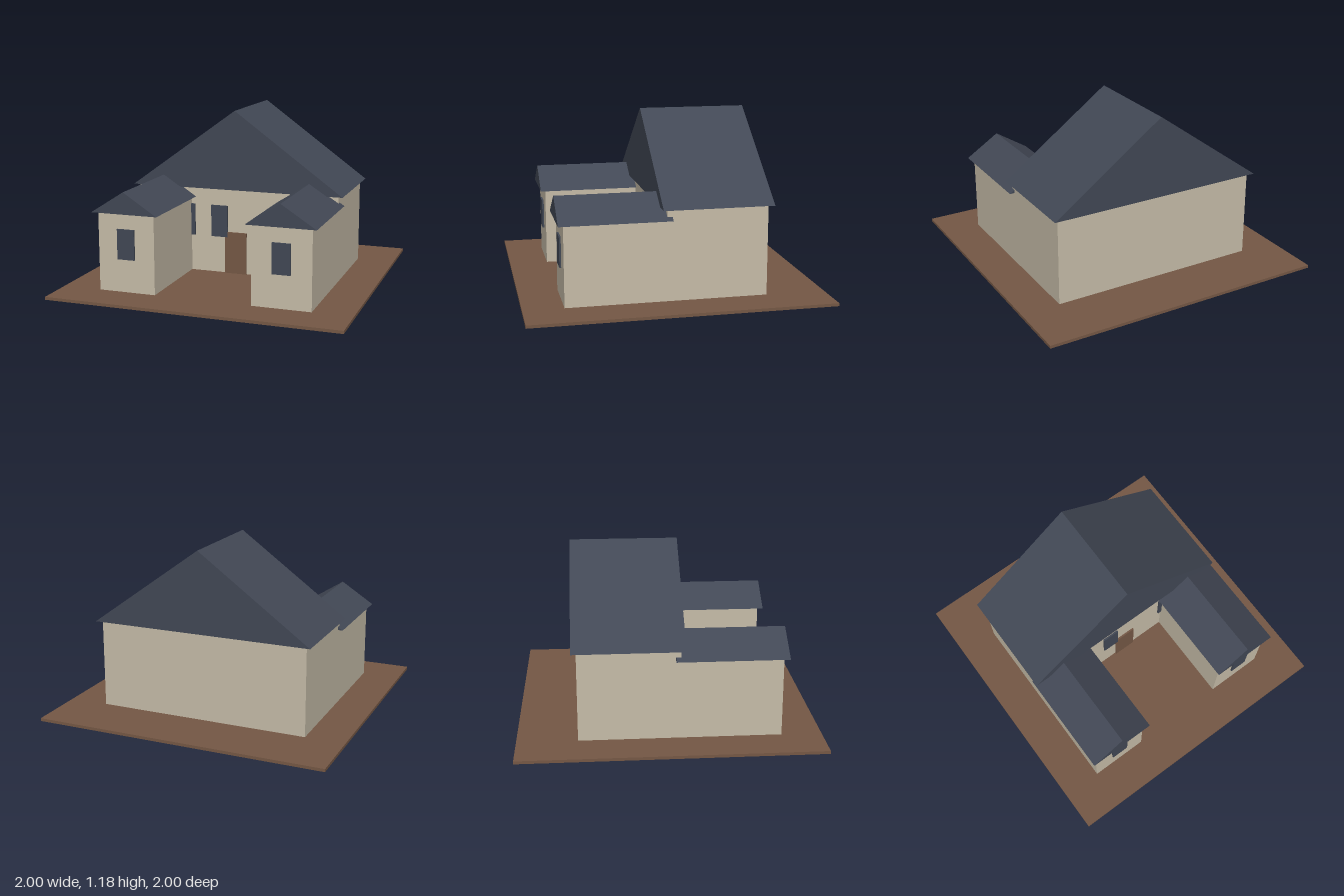
import * as THREE from 'three';

export function createModel() {
  const house = new THREE.Group();
  house.name = 'house';

  const material = (name, color) => {
    const m = new THREE.MeshStandardMaterial({ color });
    m.name = name;
    return m;
  };
  const cream = material('cream wall', 0xc6bca8);
  const slate = material('dark slate', 0x424855);
  const brown = material('brown earth', 0x755845);

  const add = (name, geometry, mat) => {
    const mesh = new THREE.Mesh(geometry, mat);
    mesh.name = name;
    house.add(mesh);
    return mesh;
  };

  // Box given by its limits on each axis
  const block = (name, mat, [x0, x1], [y0, y1], [z0, z1]) => {
    const g = new THREE.BoxGeometry(x1 - x0, y1 - y0, z1 - z0);
    g.translate((x0 + x1) / 2, (y0 + y1) / 2, (z0 + z1) / 2);
    return add(name, g, mat);
  };

  // Closed gable prism with its ridge along z
  const gable = (name, centreX, halfWidth, [y0, y1], [z0, z1]) => {
    const shape = new THREE.Shape();
    shape.moveTo(centreX - halfWidth, y0);
    shape.lineTo(centreX + halfWidth, y0);
    shape.lineTo(centreX, y1);
    shape.closePath();
    const g = new THREE.ExtrudeGeometry(shape, { depth: z1 - z0, bevelEnabled: false });
    g.translate(0, 0, z0);
    return add(name, g, slate);
  };

  const floor = 0.02;
  const wallFront = 0.07;
  const wingFront = 0.733;
  const plate = 0.012;

  // Ground slab
  block('ground', brown, [-1, 1], [0, floor], [-1, 1]);

  // Main house
  block('mainWalls', cream, [-0.732, 0.732], [floor, 0.625], [-0.6, wallFront]);
  gable('mainRoof', 0, 0.766, [0.625, 1.18], [-0.634, 0.1]);
  block('door', brown, [-0.079, 0.079], [floor, 0.317], [wallFront, wallFront + plate]);

  // Main windows; the outer ones are partly hidden behind the wings
  for (const x of [-0.365, -0.122, 0.365]) {
    block('mainWindow', slate, [x - 0.06, x + 0.06], [0.28, 0.505], [wallFront, wallFront + plate]);
  }

  // Two mirrored front wings
  for (const side of [-1, 1]) {
    const x = side * 0.533;
    const label = side > 0 ? 'left' : 'right';
    block(label + 'WingWalls', cream, [x - 0.199, x + 0.199], [floor, 0.556], [wallFront, wingFront]);
    gable(label + 'WingRoof', x, 0.233, [0.556, 0.705], [0.036, 0.768]);
    block(label + 'WingWindow', slate, [x - 0.061, x + 0.061], [0.245, 0.45], [wingFront, wingFront + plate]);
  }

  return house;
}
